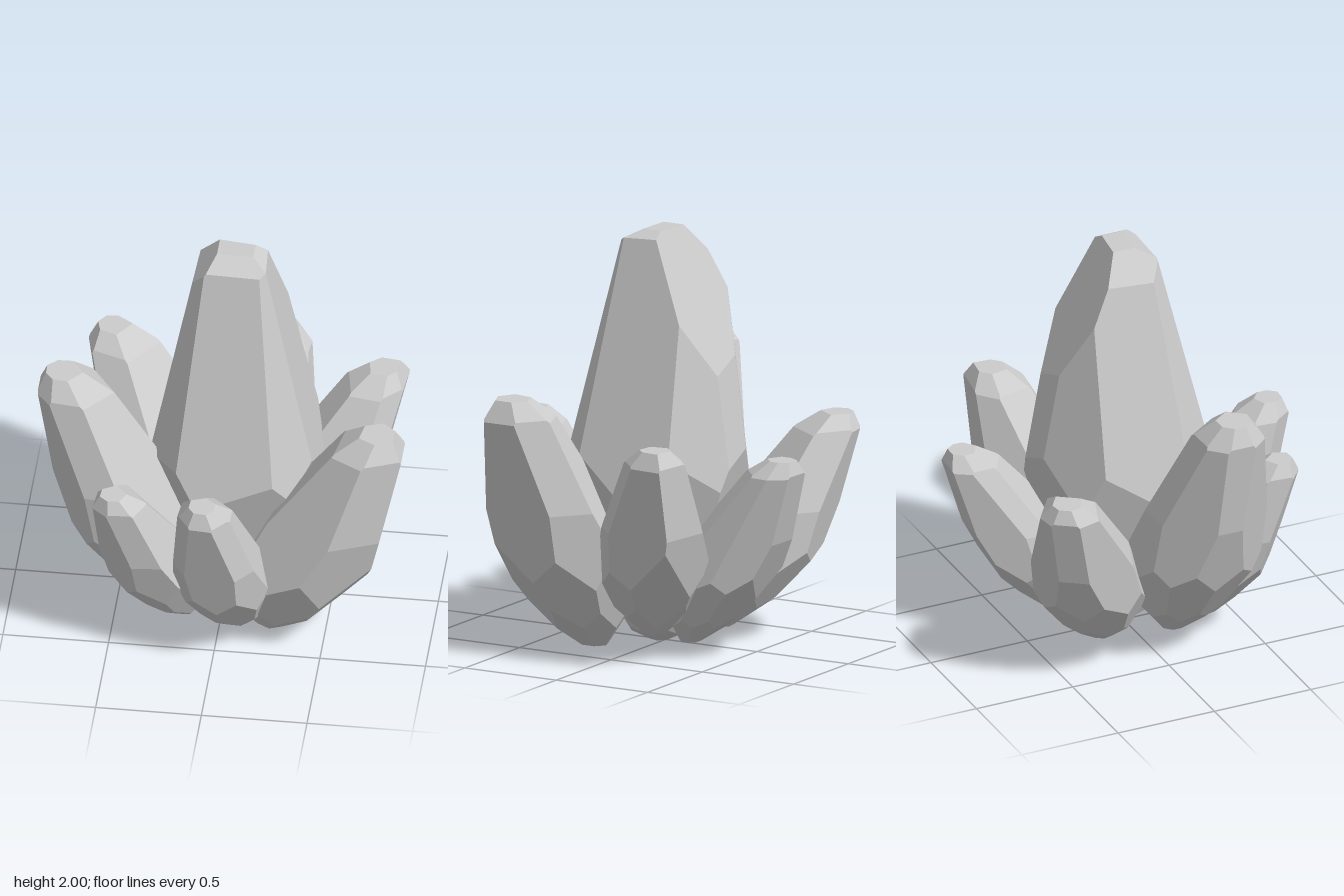
import * as THREE from 'three';

// Facets are flat cuts [angle in degrees, height 1, distance 1, height 2, distance 2],
// with heights as fractions of the axis and distances as fractions of the radius.

// Upper cuts of the central crystal
const CORE_CUTS = [
  [-3, 0.5, 0.88, 0.91, 0.43], [48, 0.5, 1.0, 0.92, 0.52], [92, 0.55, 0.82, 0.92, 0.4],
  [142, 0.5, 1.0, 0.92, 0.54], [182, 0.5, 0.92, 0.93, 0.5], [238, 0.5, 0.99, 0.75, 0.85],
  [270, 0.5, 1.05, 0.66, 0.92], [277, 0.8, 0.62, 0.98, 0.2], [305, 0.5, 1.0, 0.8, 0.77],
  [0, 0.985, 0.33, 1, 0.2], [92, 0.97, 0.36, 1, 0.1], [180, 0.93, 0.5, 0.99, 0.27],
];

// Leaning crystals: name, base point, tip point, radius, facet angles
const SHARDS = [
  ['leftShard', [0.24, 0, 0.24], [0.76, 1.265, 0.38], 0.285, [0, 68, 120, 190, 250, 310]],
  ['rightShard', [-0.22, 0.05, 0.15], [-0.75, 1.38, 0.22], 0.285, [40, 97, 140, 180, 225, 268, 325]],
  ['frontShard', [0.08, 0.04, 0.3], [-0.03, 1.035, 0.735], 0.22, [0, 40, 95, 145, 185, 250, 310]],
  ['frontRightShard', [-0.17, 0.04, 0.25], [-0.47, 0.955, 0.59], 0.205, [25, 85, 130, 185, 240, 320]],
  ['backLeftShard', [0.24, 0.09, -0.08], [0.7, 1.09, -0.36], 0.245, [5, 45, 100, 170, 230, 278]],
  ['backShard', [0.11, 0.04, -0.2], [0.19, 0.99, -0.75], 0.225, [5, 50, 120, 180, 212, 272, 325]],
  ['backRightShard', [-0.18, 0.06, -0.2], [-0.61, 1.05, -0.58], 0.245, [35, 110, 165, 215, 262, 305]],
];

const material = new THREE.MeshStandardMaterial({ color: 0xcccccc, flatShading: true });

// Belts of cuts for a leaning crystal
function shardCuts(angles) {
  return angles.flatMap((angle, i) => {
    const next = angles[(i + 1) % angles.length] + (i + 1 === angles.length ? 360 : 0);
    const between = (angle + next) / 2;
    const sides = i % 2
      ? [[angle, 0.35, 1.0, 0.6, 0.95], [angle, 0.55, 0.98, 0.9, 0.56]]
      : [[angle, 0.4, 1.0, 0.9, 0.58]];
    return [
      ...sides,
      [angle, 0.94, 0.49, 1, 0.27],
      [between, 0.1, 0.63, 0.3, 0.96],
      [angle, 0, 0.2, 0.12, 0.66],
    ];
  });
}

// Belts of cuts below the shoulder of the central crystal
function coreLowerCuts() {
  return Array.from({ length: 6 }, (_, i) => [
    [i * 60 + 20, 0.15, 0.66, 0.4, 0.98],
    [i * 60 + 50, 0.03, 0.36, 0.15, 0.68],
    [i * 60 + 20, 0, 0.1, 0.035, 0.4],
  ]).flat();
}

// Crystal: the solid left after all cuts, with one polygon per cut, strung on a leaning axis
function crystal(name, base, tip, radius, cuts) {
  const planes = cuts.map(([deg, t1, r1, t2, r2]) => {
    const a = THREE.MathUtils.degToRad(deg);
    const slope = (r1 - r2) / (t2 - t1);
    const normal = new THREE.Vector3(Math.cos(a), slope, Math.sin(a));
    return { normal, distance: r1 + slope * t1, corners: [] };
  });
  planes.push({ normal: new THREE.Vector3(0, 1, 0), distance: 1, corners: [] });
  planes.push({ normal: new THREE.Vector3(0, -1, 0), distance: 0, corners: [] });

  // Corners: points where three cuts meet and no other cut removes them
  const addCorner = (plane, p) => {
    if (!plane.corners.some((q) => q.distanceTo(p) < 1e-5)) plane.corners.push(p);
  };
  for (let i = 0; i < planes.length; i++) {
    for (let j = i + 1; j < planes.length; j++) {
      for (let k = j + 1; k < planes.length; k++) {
        const trio = [planes[i], planes[j], planes[k]];
        const [n0, n1, n2] = trio.map((plane) => plane.normal);
        const c12 = n1.clone().cross(n2);
        const det = n0.dot(c12);
        if (Math.abs(det) < 1e-6) continue;
        const p = c12.multiplyScalar(trio[0].distance)
          .addScaledVector(n2.clone().cross(n0), trio[1].distance)
          .addScaledVector(n0.clone().cross(n1), trio[2].distance)
          .divideScalar(det);
        if (planes.every((q) => q.normal.dot(p) <= q.distance + 1e-7)) {
          trio.forEach((plane) => addCorner(plane, p));
        }
      }
    }
  }

  // Facets: corners sorted around each cut, then fanned into triangles
  const a = new THREE.Vector3(...base);
  const axis = new THREE.Vector3(...tip).sub(a);
  const place = (p) => [
    a.x + axis.x * p.y + p.x * radius,
    a.y + axis.y * p.y,
    a.z + axis.z * p.y + p.z * radius,
  ];
  const positions = [];
  for (const { normal, corners } of planes) {
    if (corners.length < 3) continue;
    const center = new THREE.Vector3();
    corners.forEach((p) => center.addScaledVector(p, 1 / corners.length));
    const u = corners[0].clone().sub(center);
    const v = normal.clone().normalize().cross(u);
    const turn = (p) => {
      const d = p.clone().sub(center);
      return Math.atan2(d.dot(v), d.dot(u));
    };
    corners.sort((p, q) => turn(p) - turn(q));
    for (let i = 1; i < corners.length - 1; i++) {
      positions.push(...place(corners[0]), ...place(corners[i]), ...place(corners[i + 1]));
    }
  }
  const geometry = new THREE.BufferGeometry();
  geometry.setAttribute('position', new THREE.Float32BufferAttribute(positions, 3));
  geometry.computeVertexNormals();
  const mesh = new THREE.Mesh(geometry, material);
  mesh.name = name;
  return mesh;
}

export function createModel() {
  const group = new THREE.Group();
  group.name = 'crystalCluster';

  // Tall upright crystal in the middle
  const coreCuts = [...CORE_CUTS, ...coreLowerCuts()];
  group.add(crystal('centralCrystal', [0.05, 0.015, 0], [0.05, 2, 0], 0.4, coreCuts));

  // Shorter crystals leaning outwards all round
  for (const [name, base, tip, radius, angles] of SHARDS) {
    group.add(crystal(name, base, tip, radius, shardCuts(angles)));
  }
  return group;
}
